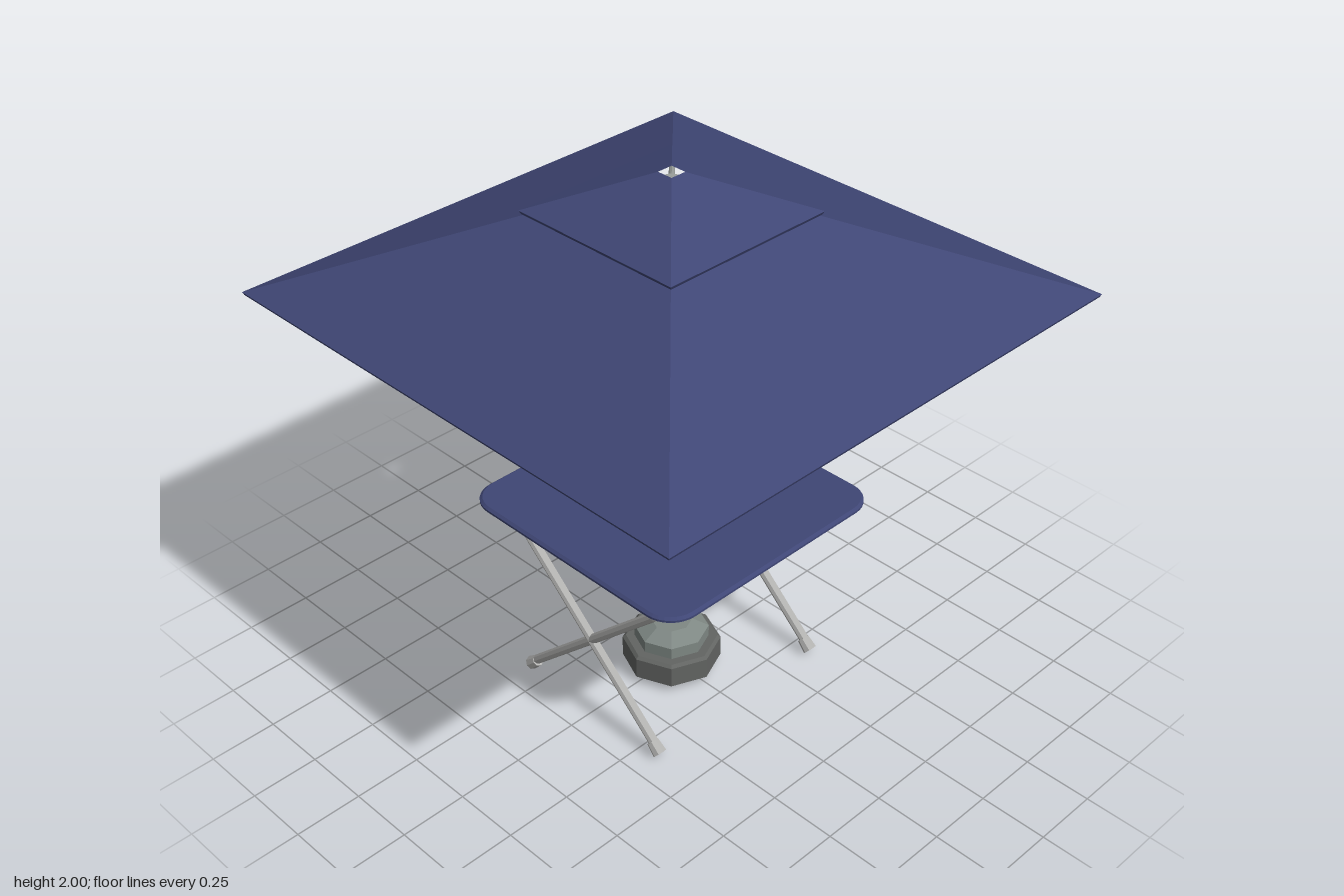
import * as THREE from 'three';

const mat = (name, color, side = THREE.FrontSide) => {
  const m = new THREE.MeshStandardMaterial({ color, flatShading: true, side });
  m.name = name;
  return m;
};

export function createModel() {
  const navy = mat('navy fabric', 0x3f4675, THREE.DoubleSide);
  const steel = mat('pole steel', 0x9a9f9b);
  const tube = mat('leg metal', 0xb4b4b2);
  const stone = mat('upper base grey', 0x7f8884);
  const dark = mat('lower base grey', 0x626462);

  const model = new THREE.Group();
  model.name = 'parasolTable';
  const add = (name, geo, material, parent = model) => {
    const mesh = new THREE.Mesh(geo, material);
    mesh.name = name;
    parent.add(mesh);
    return mesh;
  };
  const V = (x, y, z) => new THREE.Vector3(x, y, z);

  // Ring of sides between two heights
  const drum = (rTop, rBottom, y0, y1, sides = 8, open = false, start = 0) =>
    new THREE.CylinderGeometry(rTop, rBottom, y1 - y0, sides, 1, open, start).translate(0, (y0 + y1) / 2, 0);
  // Square skirt given by half widths
  const skirt = (top, bottom, y0, y1) =>
    drum(top * Math.SQRT2, bottom * Math.SQRT2, y0, y1, 4, true, Math.PI / 4);
  // Straight rod between two points
  const rod = (a, b, rA, rB = rA) => {
    const d = b.clone().sub(a);
    const g = new THREE.CylinderGeometry(rB, rA, d.length(), 8);
    g.applyQuaternion(new THREE.Quaternion().setFromUnitVectors(V(0, 1, 0), d.normalize()));
    const c = a.clone().add(b).multiplyScalar(0.5);
    return g.translate(c.x, c.y, c.z);
  };

  // Canopy with a vent and a raised cap
  add('canopy', skirt(0.3, 0.985, 1.565, 1.862), navy);
  add('canopyHem', skirt(0.985, 0.98, 1.554, 1.565), navy);
  add('canopyCap', skirt(0.03, 0.342, 1.864, 2.0), navy);
  add('capHem', skirt(0.342, 0.335, 1.851, 1.864), navy);

  // Ribs from the hub to the corners
  for (const sx of [-1, 1]) for (const sz of [-1, 1]) {
    add('rib', rod(V(0, 1.972, 0), V(sx * 0.97, 1.557, sz * 0.97), 0.01), steel);
  }
  add('hub', drum(0.03, 0.034, 1.945, 1.98), steel);

  // Pole, winding collar and crank
  add('pole', drum(0.018, 0.018, 0.19, 1.96), steel);
  add('collar', drum(0.025, 0.025, 0.935, 1.02), tube);
  const crank = new THREE.CatmullRomCurve3([
    V(0.014, 1.005, 0.015), V(0.014, 1.003, 0.035), V(0.014, 0.985, 0.047), V(0.014, 0.948, 0.05),
  ]);
  add('crank', new THREE.TubeGeometry(crank, 8, 0.009, 6), tube);
  add('crankTip', drum(0.01, 0.01, 0.945, 0.955, 6).translate(0.014, 0, 0.05), tube);

  // Stepped weight
  add('baseLower', drum(0.18, 0.18, 0.03, 0.112), dark);
  add('baseLowerBevel', drum(0.168, 0.18, 0.112, 0.122), dark);
  add('baseUpper', drum(0.136, 0.136, 0.122, 0.168), stone);
  add('baseShoulder', drum(0.075, 0.136, 0.168, 0.2), stone);

  // Table top with rounded corners and a pole hole
  const h = 0.495, r = 0.1;
  const top = new THREE.Shape();
  top.moveTo(-h + r, -h);
  top.absarc(h - r, -h + r, r, -Math.PI / 2, 0);
  top.absarc(h - r, h - r, r, 0, Math.PI / 2);
  top.absarc(-h + r, h - r, r, Math.PI / 2, Math.PI);
  top.absarc(-h + r, -h + r, r, Math.PI, Math.PI * 1.5);
  const hole = new THREE.Path();
  hole.absarc(0, 0, 0.052, 0, Math.PI * 2, true);
  top.holes.push(hole);
  const slab = new THREE.ExtrudeGeometry(top, {
    depth: 0.008, bevelThickness: 0.008, bevelSize: 0.01, bevelSegments: 1, curveSegments: 4,
  });
  add('tableTop', slab.rotateX(-Math.PI / 2).translate(0, 0.738, 0), navy);

  // Crossed legs, each side bent from one tube
  for (const s of [-1, 1]) {
    const side = new THREE.Group();
    side.name = s > 0 ? 'leftLegs' : 'rightLegs';
    side.position.x = s * 0.39;
    model.add(side);

    const path = new THREE.CurvePath();
    const line = (a, b) => path.add(new THREE.LineCurve3(a, b));
    const bend = (a, b, c, d) => path.add(new THREE.CubicBezierCurve3(a, b, c, d));
    const p = [V(0, 0.04, 0.32), V(0, 0.615, -0.305), V(0, 0.718, -0.275),
      V(0, 0.718, 0.275), V(0, 0.615, 0.305), V(0, 0.04, -0.32)];
    line(p[0], p[1]);
    bend(p[1], V(0, 0.655, -0.348), V(0, 0.718, -0.335), p[2]);
    line(p[2], p[3]);
    bend(p[3], V(0, 0.718, 0.335), V(0, 0.655, 0.348), p[4]);
    line(p[4], p[5]);
    add('legTube', new THREE.TubeGeometry(path, 80, 0.018, 8), tube, side);

    // Foot caps
    for (const f of [-1, 1]) {
      add('foot', rod(V(0, 0.02, f * 0.336), V(0, 0.053, f * 0.3), 0.026, 0.022), tube, side);
    }
  }
  return model;
}
